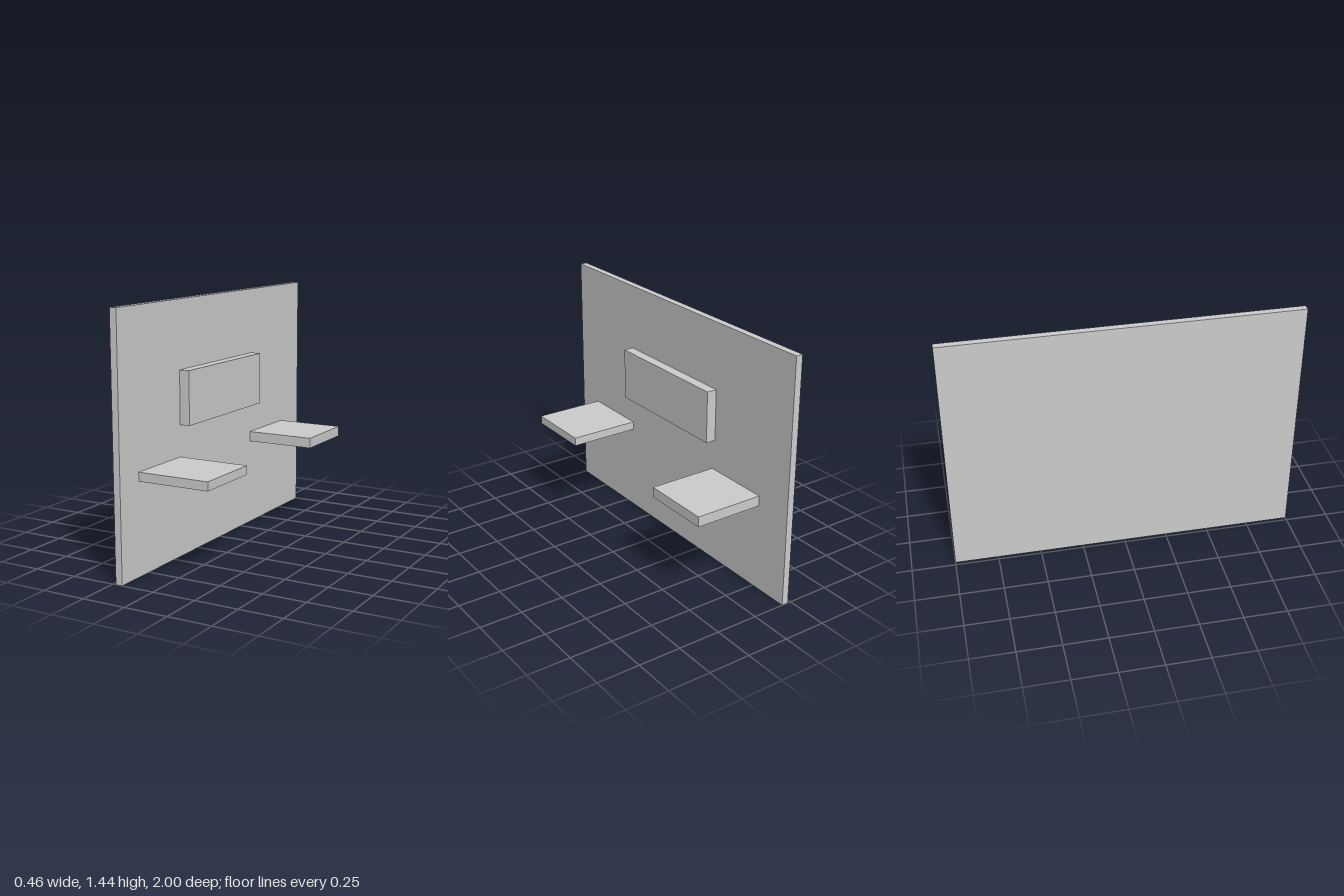
import * as THREE from 'three';

const material = new THREE.MeshStandardMaterial({ color: 0xcccccc, flatShading: true });

// Box given by its lower and upper limits on each axis
function slab(name, [x0, x1], [y0, y1], [z0, z1]) {
  const mesh = new THREE.Mesh(new THREE.BoxGeometry(x1 - x0, y1 - y0, z1 - z0), material);
  mesh.name = name;
  mesh.position.set((x0 + x1) / 2, (y0 + y1) / 2, (z0 + z1) / 2);
  return mesh;
}

export function createModel() {
  const group = new THREE.Group();
  group.name = 'wallPanelWithShelves';
  const face = -0.19; // mounting face of the panel

  group.add(
    // Upright panel
    slab('backPanel', [-0.23, face], [0, 1.44], [-1, 1]),
    // Raised block in the middle of the panel
    slab('raisedBlock', [face, -0.13], [0.75, 1.055], [-0.38, 0.427]),
    // Two shelves, slightly different in depth and thickness
    slab('frontShelf', [face, 0.23], [0.52, 0.57], [0.427, 0.832]),
    slab('rearShelf', [face, 0.218], [0.51, 0.57], [-0.772, -0.362]),
  );
  return group;
}
